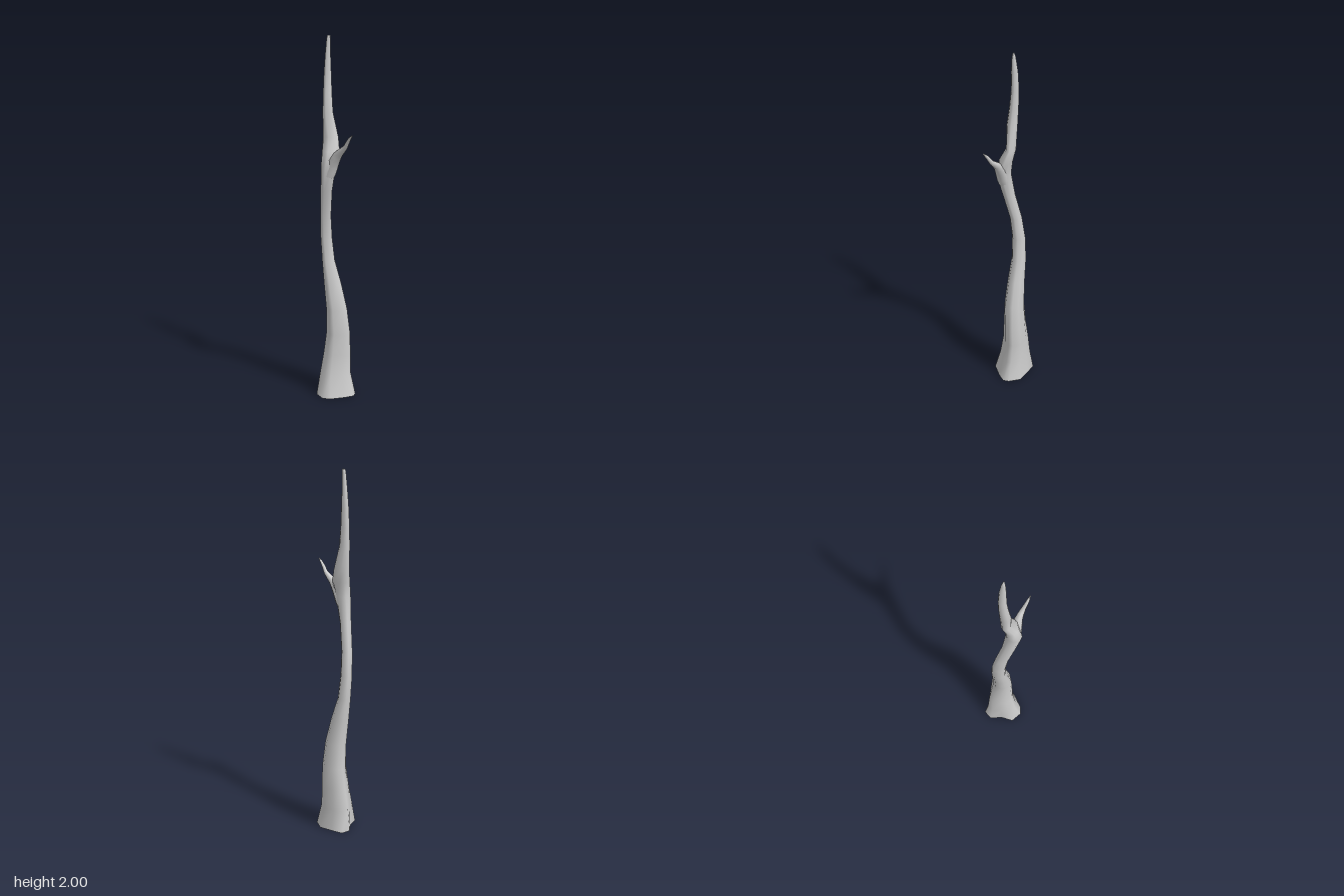
import * as THREE from 'three';

const material = new THREE.MeshStandardMaterial({ color: 0xcccccc, side: THREE.DoubleSide });

// Flared, uneven foot outline [x, z]
const foot = [
  [0.093, 0.02], [0.05, 0.055], [-0.02, 0.097], [-0.065, 0.1], [-0.113, 0.055], [-0.1, -0.01],
  [-0.11, -0.08], [-0.075, -0.12], [-0.01, -0.1], [0.06, -0.075], [0.093, -0.015],
];

// Trunk rings: height, x range, z range
const rings = [
  [0, -0.113, 0.093, -0.12, 0.1],
  [0.12, -0.1, 0.064, -0.1, 0.066],
  [0.24, -0.083, 0.06, -0.092, 0.047],
  [0.36, -0.072, 0.058, -0.083, 0.042],
  [0.5, -0.076, 0.042, -0.075, 0.038],
  [0.64, -0.09, 0.008, -0.072, 0.025],
  [0.77, -0.102, -0.032, -0.072, 0.01],
  [0.9, -0.109, -0.046, -0.066, 0.01],
  [1.03, -0.106, -0.047, -0.046, 0.024],
  [1.18, -0.092, -0.03, -0.012, 0.06],
  [1.32, -0.083, -0.002, 0.006, 0.092],
  [1.4, -0.082, 0.014, -0.004, 0.07],
  [1.47, -0.084, 0, -0.02, 0.034],
  [1.6, -0.086, -0.03, -0.024, 0.035],
  [1.7, -0.086, -0.038, -0.028, 0.022],
  [1.8, -0.083, -0.043, -0.03, 0.013],
  [1.9, -0.075, -0.046, -0.025, 0.012],
  [1.98, -0.067, -0.046, -0.014, 0.007],
  [2, -0.063, -0.046, -0.008, 0.003],
];

// Outline that turns from the foot shape into an oval, fitted to -1..1
function outline(footShare) {
  const pts = foot.map(([x, z]) => {
    const u = (x + 0.01) / 0.103, v = (z + 0.01) / 0.11;
    const a = Math.atan2(v, u);
    return [THREE.MathUtils.lerp(Math.cos(a), u, footShare), THREE.MathUtils.lerp(Math.sin(a), v, footShare)];
  });
  const fit = (k) => {
    const values = pts.map((p) => p[k]);
    const lo = Math.min(...values), hi = Math.max(...values);
    pts.forEach((p) => { p[k] = ((p[k] - lo) / (hi - lo)) * 2 - 1; });
  };
  fit(0);
  fit(1);
  return pts;
}

function trunkGeometry() {
  const n = foot.length, positions = [], index = [];
  rings.forEach(([y, x0, x1, z0, z1], i) => {
    for (const [u, v] of outline(Math.max(0, 1 - y / 0.5))) {
      positions.push((x0 + x1) / 2 + (u * (x1 - x0)) / 2, y, (z0 + z1) / 2 + (v * (z1 - z0)) / 2);
    }
    if (i === 0) return;
    for (let j = 0; j < n; j++) {
      const a = (i - 1) * n + j, b = (i - 1) * n + ((j + 1) % n);
      index.push(a, a + n, b, b, a + n, b + n);
    }
  });
  // Closed tip
  const tip = rings.length * n;
  positions.push(-0.054, 2, -0.003);
  for (let j = 0; j < n; j++) index.push(tip - n + j, tip, tip - n + ((j + 1) % n));
  const geometry = new THREE.BufferGeometry();
  geometry.setAttribute('position', new THREE.Float32BufferAttribute(positions, 3));
  geometry.setIndex(index);
  geometry.computeVertexNormals();
  return geometry;
}

// Side branch: a tube whose radius shrinks along the path
function branchGeometry() {
  const path = new THREE.CatmullRomCurve3([
    [-0.042, 1.27, 0.045], [-0.012, 1.345, 0.055], [0.022, 1.395, 0.066],
    [0.058, 1.43, 0.083], [0.08, 1.47, 0.1], [0.105, 1.503, 0.114],
  ].map((p) => new THREE.Vector3(...p)));
  const radii = [0.033, 0.035, 0.034, 0.031, 0.026, 0.02, 0.016, 0.012, 0.01, 0.008, 0.003];
  const steps = radii.length - 1, sides = 8;
  const geometry = new THREE.TubeGeometry(path, steps, 1, sides);
  const pos = geometry.attributes.position;
  const v = new THREE.Vector3();
  for (let i = 0; i < pos.count; i++) {
    const ring = Math.floor(i / (sides + 1));
    const centre = path.getPointAt(ring / steps);
    v.fromBufferAttribute(pos, i).sub(centre).multiplyScalar(radii[ring]).add(centre);
    pos.setXYZ(i, v.x, v.y, v.z);
  }
  return geometry;
}

export function createModel() {
  const model = new THREE.Group();
  model.name = 'bareTree';
  const add = (name, geometry) => {
    const mesh = new THREE.Mesh(geometry, material);
    mesh.name = name;
    model.add(mesh);
  };
  add('trunk', trunkGeometry());
  add('sideBranch', branchGeometry());
  return model;
}
